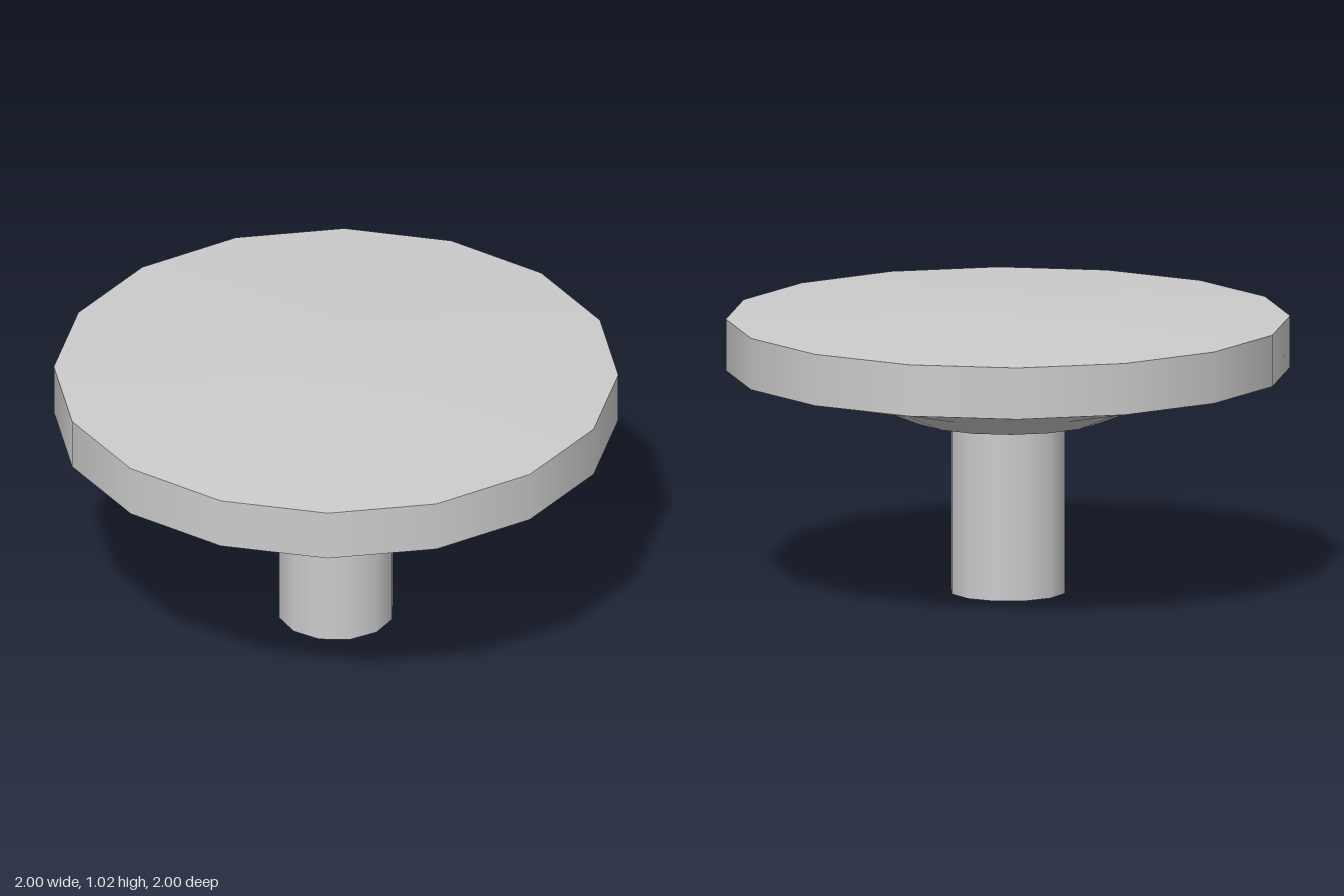
import * as THREE from 'three';

export function createModel() {
  const group = new THREE.Group();
  const grey = new THREE.MeshStandardMaterial({ color: 0xcccccc });
  grey.name = 'light grey';

  // One smooth surface of revolution; separate bands keep the rims between them sharp.
  // Profiles run so that the faces point outward.
  function band(name, sides, profile) {
    const points = profile.map(([r, y]) => new THREE.Vector2(r, y));
    const mesh = new THREE.Mesh(new THREE.LatheGeometry(points, sides), grey);
    mesh.name = name;
    group.add(mesh);
  }

  // Sixteen-sided head
  band('headBase', 16, [[0, 0.625], [0.345, 0.625]]);
  band('headUnderside', 16, [[0.345, 0.625], [0.51, 0.693], [1, 0.8]]);
  band('headRim', 16, [[1, 0.8], [1, 0.985]]);
  band('headTop', 16, [[1, 0.985], [0.33, 1.02], [0, 1.02]]);

  // Twelve-sided stem
  band('stemEnd', 12, [[0, 0], [0.207, 0]]);
  band('stem', 12, [[0.207, 0], [0.207, 0.625]]);

  return group;
}
